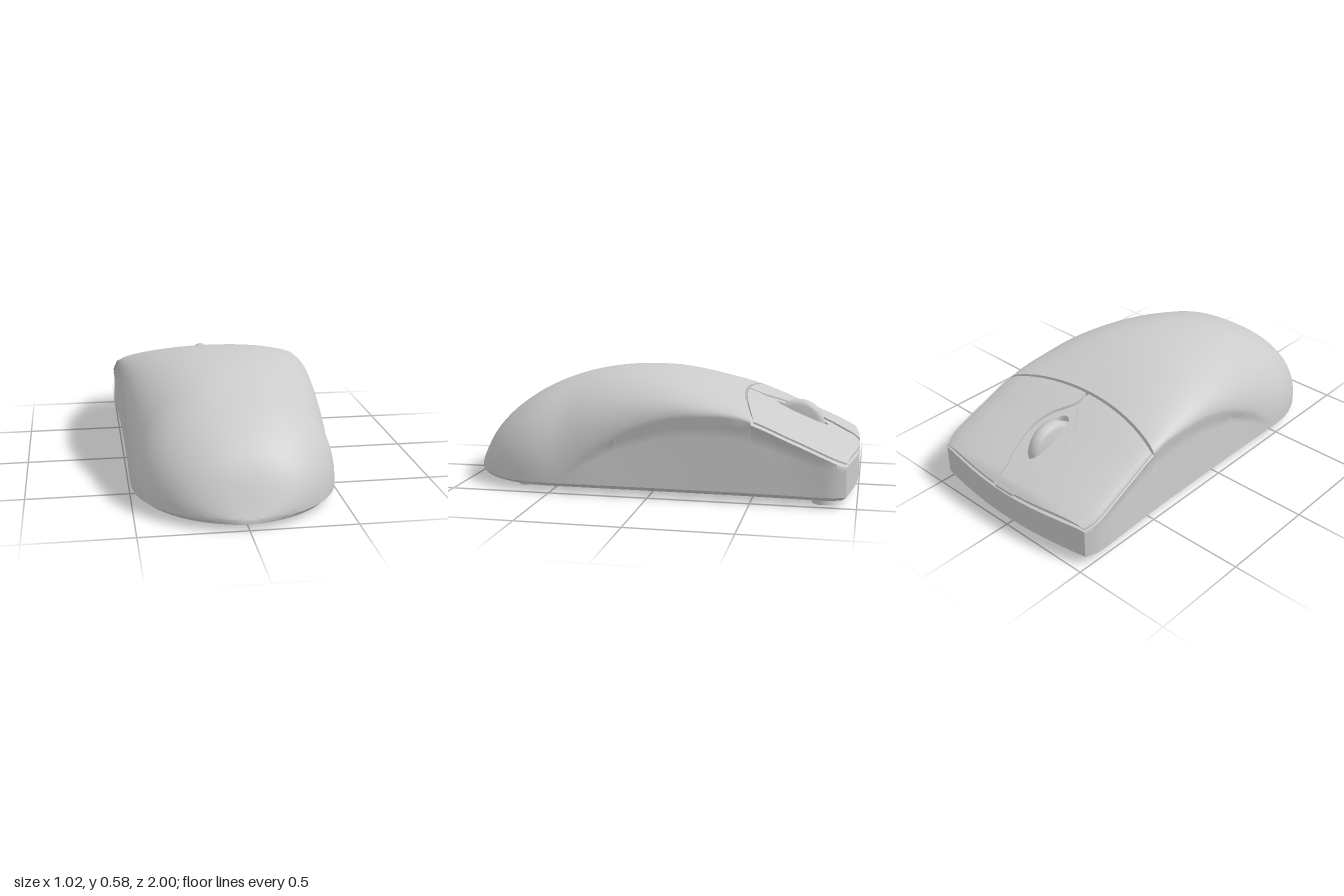
import * as THREE from 'three';
import { toCreasedNormals } from 'three/addons/utils/BufferGeometryUtils.js';

const { lerp, clamp, smoothstep } = THREE.MathUtils;
const material = new THREE.MeshStandardMaterial({ color: 0xcccccc });

// Smooth curve through [z, value] points
function curve(pts) {
  const slope = (i) => {
    const a = pts[Math.max(i - 1, 0)], b = pts[Math.min(i + 1, pts.length - 1)];
    return (b[1] - a[1]) / (b[0] - a[0]);
  };
  return (z) => {
    z = clamp(z, pts[0][0], pts[pts.length - 1][0]);
    let i = 0;
    while (i < pts.length - 2 && z > pts[i + 1][0]) i++;
    const [z0, y0] = pts[i], [z1, y1] = pts[i + 1];
    const h = z1 - z0, t = (z - z0) / h, s = 1 - t;
    return y0 * (1 + 2 * t) * s * s + y1 * t * t * (3 - 2 * t)
      + h * (slope(i) * t * s * s - slope(i + 1) * t * t * s);
  };
}

// Profiles along the length: centre ridge, side crease, island half width
const ridge = curve([[-1, 0.22], [-0.96, 0.255], [-0.7, 0.37], [-0.4, 0.49], [-0.1, 0.57], [0.1, 0.585],
  [0.3, 0.57], [0.5, 0.52], [0.7, 0.425], [0.88, 0.27], [1, 0.05]]);
const crease = curve([[-1, 0.185], [-0.95, 0.2], [-0.7, 0.305], [-0.45, 0.4], [-0.25, 0.405], [-0.1, 0.39],
  [0.1, 0.32], [0.3, 0.2], [0.45, 0.075], [0.55, 0.05], [1, 0.05]]);
const frontWidth = curve([[-1, 0.46], [-0.95, 0.485], [-0.9, 0.505], [-0.85, 0.51], [-0.4, 0.497], [0.5, 0.495]]);
const islandWidth = curve([[-1, 0.06], [-0.93, 0.06], [-0.84, 0.09], [-0.7, 0.112], [-0.6, 0.08],
  [-0.5, 0.004], [-0.4, 0.004]]);

const halfWidth = (z) => z > 0.5
  ? 0.495 * Math.sqrt(Math.max(0, 1 - ((z - 0.5) / 0.5) ** 2)) : frontWidth(z);
const slotWidth = (z) => 0.048 * Math.max(0, 1 - ((z + 0.705) / 0.13) ** 2) ** 0.35;
const arch = (u) => Math.max(0, 1 - Math.abs(u) ** 2.3) ** 0.45;
const dome = (u, z, fill = 1) => crease(z) + (ridge(z) - crease(z)) * arch(u) * fill;
const frontEdge = (u) => -1 + 0.05 * u * u;
const seam = (u) => -0.42 - 0.08 * u * u;

// Closed solid: a subdivided box whose vertices are moved by rule(a, t, v)
function solid(name, [nx, ny, nz], rule, angle = 0.6) {
  const g = new THREE.BoxGeometry(1, 1, 1, nx, ny, nz);
  const p = g.attributes.position;
  for (let i = 0; i < p.count; i++) {
    p.setXYZ(i, ...rule(p.getX(i) + 0.5, p.getY(i) + 0.5, p.getZ(i) + 0.5));
  }
  const mesh = new THREE.Mesh(toCreasedNormals(g, angle), material);
  mesh.name = name;
  return mesh;
}

// Shell section: bevelled base, slightly hollow flank, arched top
const ROWS = 8;
function shellPoint(u, t, z, fill, drop) {
  const first = 1 / ROWS;
  const top = dome(u, z, fill) - drop;
  const y = t < first - 1e-4 ? 0.03 : lerp(0.05, top, (t - first) / (1 - first));
  const hollow = 0.022 * (1 - smoothstep(z, 0.1, 0.45)) * smoothstep(z, -0.95, -0.6);
  const w = halfWidth(z);
  const inset = t < first - 1e-4 ? Math.min(0.025, w * 0.2) : t > 0.999 ? 0 : hollow * t;
  return [u * (w - inset), y, z];
}

// Slab lying on the dome, on one side of the centre line
function slab(name, side, steps, inner, outer, start, end, top, bottom) {
  return solid(name, steps, (a, t, v) => {
    const w = Math.sin((side > 0 ? a : 1 - a) * Math.PI / 2);
    const zc = lerp(start(0), end(0), v);
    const u = lerp(inner(zc), outer(zc), w);
    const z = lerp(start(u), end(u), v);
    return [side * u * halfWidth(z), t > 0.5 ? top(u, z) : bottom(u, z), z];
  }, 0.7);
}

export function createModel() {
  const model = new THREE.Group();

  // Palm shell, from the seam to the rounded rear
  model.add(solid('palmShell', [40, ROWS, 44], (a, t, v) => {
    const u = Math.sin((a - 0.5) * Math.PI);
    const z = lerp(seam(u), 1, Math.sin(v * Math.PI / 2));
    return shellPoint(u, t, z, 1, 0);
  }));

  // Lower front shell with a sunken deck beneath the buttons
  model.add(solid('frontShell', [40, ROWS, 20], (a, t, v) => {
    const u = Math.sin((a - 0.5) * Math.PI);
    const z = lerp(frontEdge(u), seam(u), v);
    const p = shellPoint(u, t, z, 0.35, 0.008);
    if (t < 0.01) p[2] += 0.02 * (1 - v);
    return p;
  }));

  for (const side of [1, -1]) {
    const label = side > 0 ? 'left' : 'right';

    // Click button
    model.add(slab(label + 'Button', side, [20, 1, 40],
      (z) => (islandWidth(z) + 0.008) / halfWidth(z), () => 1,
      frontEdge, (u) => seam(u) - 0.014,
      (u, z) => Math.max(dome(u, z), crease(z) + 0.015),
      (u, z) => dome(u, z, 0.5) + 0.006));

    // Half of the centre island, cut around the wheel slot
    model.add(slab(label + 'Island', side, [4, 1, 60],
      (z) => Math.min(slotWidth(z), islandWidth(z)) / halfWidth(z),
      (z) => islandWidth(z) / halfWidth(z),
      frontEdge, () => -0.5,
      (u, z) => dome(u, z) - 0.008,
      (u, z) => dome(u, z, 0.4)));

    // Feet
    for (const [x, z] of [[0.317, 0.66], [0.4, -0.84]]) {
      const foot = new THREE.Mesh(new THREE.CylinderGeometry(0.053, 0.053, 0.034, 20), material);
      foot.position.set(side * x, 0.017, z);
      foot.name = label + (z > 0 ? 'RearFoot' : 'FrontFoot');
      model.add(foot);
    }
  }

  // Scroll wheel with rounded rim
  const rim = [[0, -0.035], [0.105, -0.035], [0.12, -0.03], [0.129, -0.016], [0.131, 0],
    [0.129, 0.016], [0.12, 0.03], [0.105, 0.035], [0, 0.035]].map(([r, h]) => new THREE.Vector2(r, h));
  const wheel = new THREE.Mesh(toCreasedNormals(new THREE.LatheGeometry(rim, 40), 0.7), material);
  wheel.rotation.z = Math.PI / 2;
  wheel.position.set(0, 0.3, -0.69);
  wheel.name = 'scrollWheel';
  model.add(wheel);

  return model;
}
